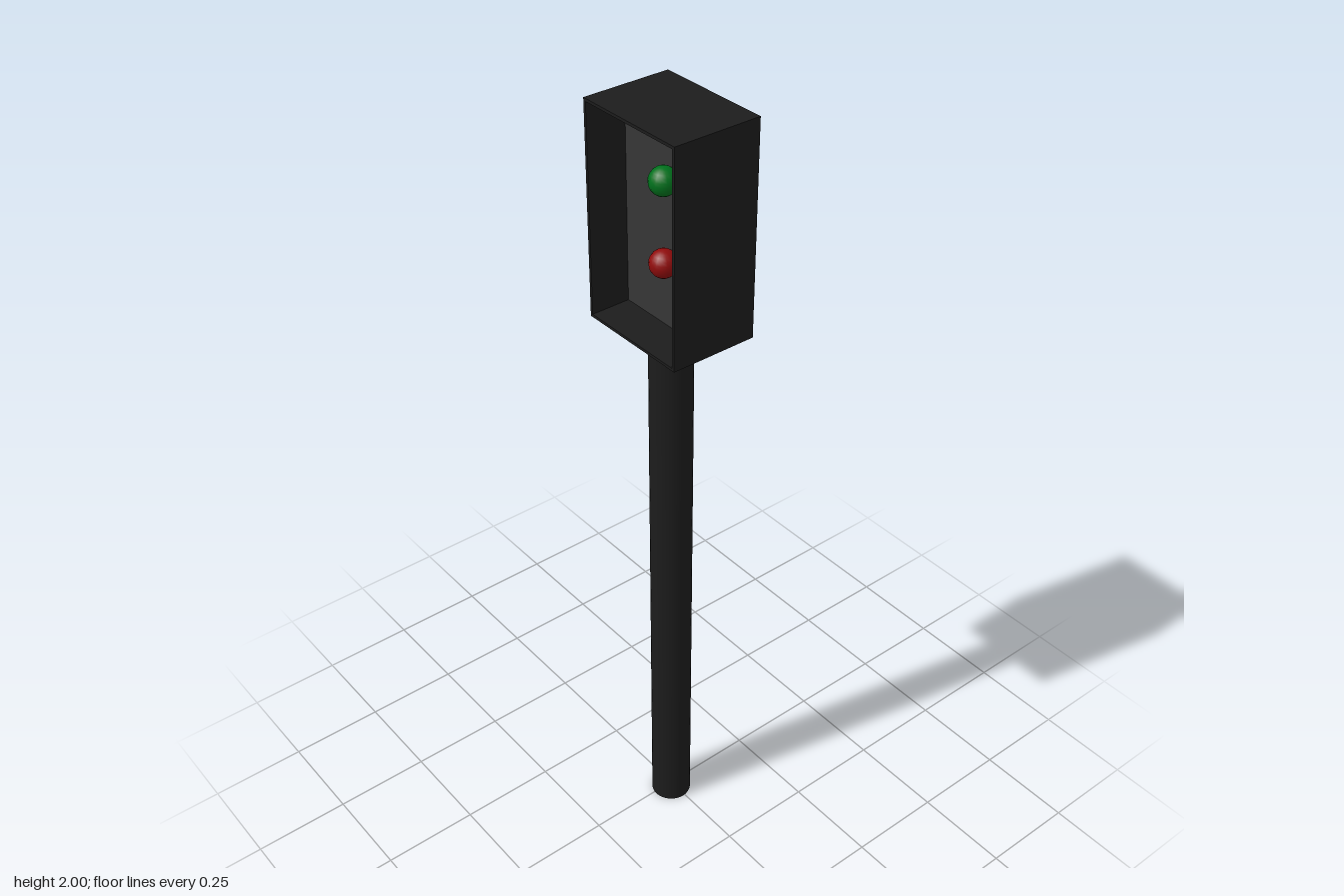
import * as THREE from 'three';

const paint = (color) => new THREE.MeshStandardMaterial({ color });

function addPart(parent, name, geometry, material, x, y, z) {
  const mesh = new THREE.Mesh(geometry, material);
  mesh.name = name;
  mesh.position.set(x, y, z);
  parent.add(mesh);
  return mesh;
}

// Adds a rectangle centred on the origin to a shape or hole
function rectangle(path, w, h) {
  path.moveTo(-w / 2, -h / 2);
  path.lineTo(w / 2, -h / 2);
  path.lineTo(w / 2, h / 2);
  path.lineTo(-w / 2, h / 2);
  path.closePath();
  return path;
}

export function createModel() {
  const model = new THREE.Group();
  model.name = 'signalPost';
  const black = paint(0x1c1c1c);

  const width = 0.222, height = 0.52, depth = 0.296, wall = 0.007;
  const headY = 2 - height / 2;
  const panelX = -0.01;

  // Round pole, slightly off the centre of the head
  const poleHeight = 2 - height;
  addPart(model, 'pole', new THREE.CylinderGeometry(0.052, 0.052, poleHeight, 32),
    black, -0.006, poleHeight / 2, 0.008);

  // Signal head: thin-walled hood open towards -x
  const head = new THREE.Group();
  head.name = 'signalHead';
  head.position.y = headY;
  model.add(head);

  const rim = rectangle(new THREE.Shape(), depth, height);
  rim.holes.push(rectangle(new THREE.Path(), depth - 2 * wall, height - 2 * wall));
  const hood = new THREE.ExtrudeGeometry(rim, { depth: width, bevelEnabled: false });
  hood.translate(0, 0, -width / 2);
  hood.rotateY(Math.PI / 2);
  addPart(head, 'hood', hood, black, 0, 0, 0);

  // Closed back of the hood
  addPart(head, 'hoodBack', new THREE.BoxGeometry(wall, height - 2 * wall, depth - 2 * wall),
    black, width / 2 - wall / 2, 0, 0);

  // Recessed plate carrying the lamps
  addPart(head, 'lampPanel', new THREE.BoxGeometry(wall, height - 2 * wall, depth - 2 * wall),
    paint(0x363636), panelX + wall / 2, 0, 0);

  // Green lamp above red lamp
  const lamps = [['greenLamp', 0x00701c, 1.853], ['redLamp', 0x900c0c, 1.66]];
  for (const [name, color, y] of lamps) {
    addPart(head, name, new THREE.SphereGeometry(0.033, 16, 12), paint(color),
      panelX - 0.025, y - headY, 0.018);
  }

  return model;
}
